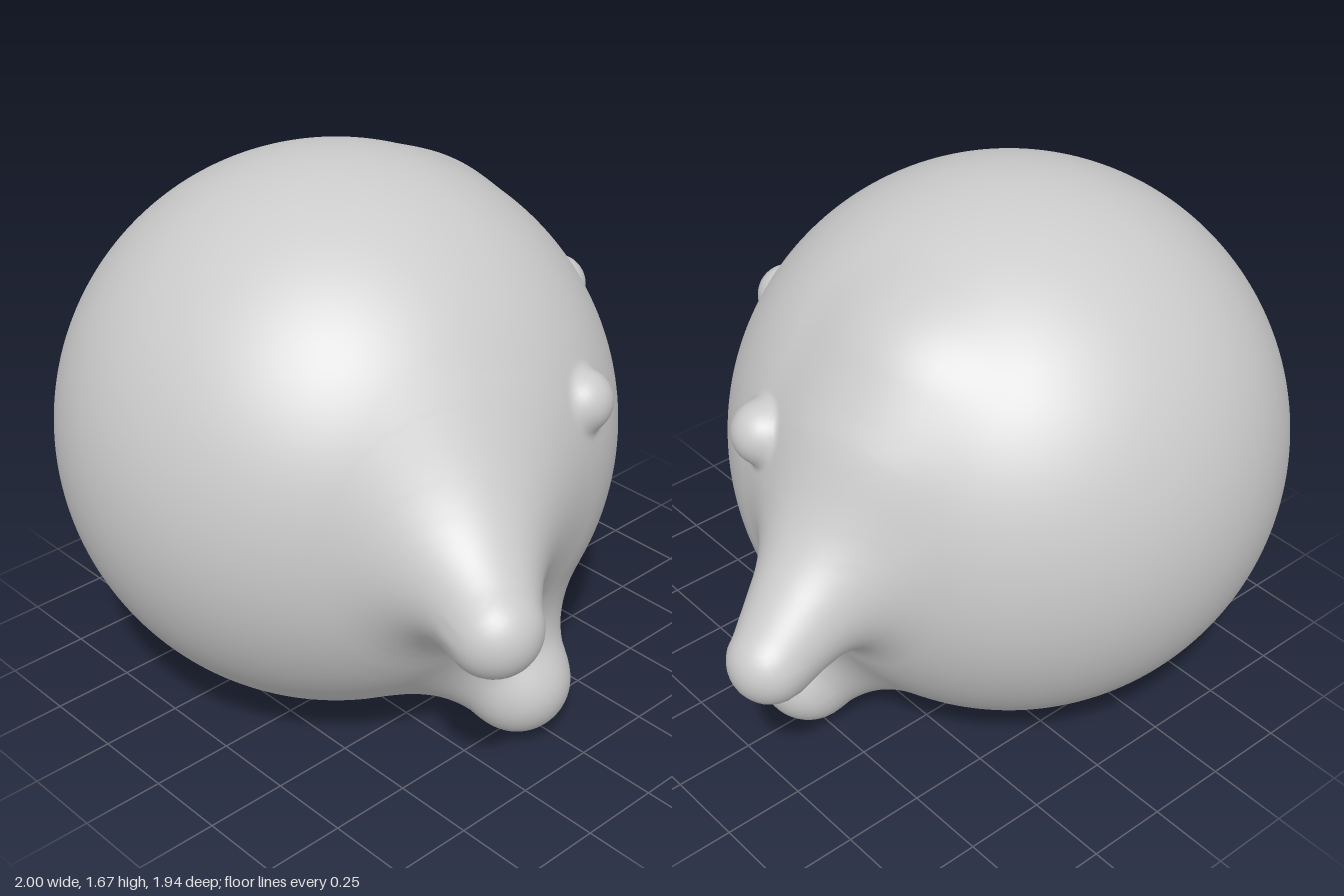
import * as THREE from 'three';
import { mergeVertices } from 'three/addons/utils/BufferGeometryUtils.js';

const V = (x, y, z) => new THREE.Vector3(x, y, z);
const CENTER = V(-0.165, 0.84, -0.14);
const RADIUS = 0.835;

// Tapered, rounded lobes: root, tip, radius at each, softness of the blend
const LOBES = [
  { a: V(0.2, 1.2, -0.23), b: V(0.29, 1.08, -0.24), ra: 0.345, rb: 0.345, k: 0.06 }, // shoulder swell
  { a: V(0.12, 0.37, 0.15), b: V(0.13, 0.37, 0.16), ra: 0.24, rb: 0.24, k: 0.15 }, // hip pad
  { a: V(-0.28, 0.88, 0.42), b: V(-0.485, 0.73, 0.83), ra: 0.28, rb: 0.135, k: 0.2 }, // right arm
  { a: V(0.43, 0.92, -0.24), b: V(0.88, 0.67, -0.345), ra: 0.26, rb: 0.12, k: 0.15 }, // left arm
  { a: V(-0.08, 0.4, 0.25), b: V(-0.06, 0.19, 0.525), ra: 0.22, rb: 0.16, k: 0.18 }, // right leg
  { a: V(0.25, 0.4, -0.02), b: V(0.51, 0.17, 0), ra: 0.22, rb: 0.15, k: 0.18 }, // left leg
  { a: V(0.09, 1.085, 0.57), b: V(0.1, 1.085, 0.58), ra: 0.095, rb: 0.095, k: 0.02 }, // right eye
  { a: V(0.59, 1.095, 0.025), b: V(0.6, 1.095, 0.025), ra: 0.095, rb: 0.095, k: 0.02 }, // left eye
];

const ab = new THREE.Vector3(), ap = new THREE.Vector3();
function lobeDistance(p, { a, b, ra, rb }) {
  ab.subVectors(b, a);
  ap.subVectors(p, a);
  const t = THREE.MathUtils.clamp(ap.dot(ab) / ab.lengthSq(), 0, 1);
  return ap.addScaledVector(ab, -t).length() - THREE.MathUtils.lerp(ra, rb, t);
}

function smoothMin(d, e, k) {
  const h = Math.max(k - Math.abs(d - e), 0) / k;
  return Math.min(d, e) - h * h * k * 0.25;
}

function bodyDistance(p) {
  let d = p.distanceTo(CENTER) - RADIUS;
  for (const lobe of LOBES) d = smoothMin(d, lobeDistance(p, lobe), lobe.k);
  return d;
}

// Round body with arms, legs and button eyes drawn out of one smooth skin
function createBody() {
  let geo = new THREE.IcosahedronGeometry(1, 80);
  geo.deleteAttribute('normal');
  geo.deleteAttribute('uv');
  geo = mergeVertices(geo, 1e-5);
  const pos = geo.attributes.position;
  const dir = new THREE.Vector3(), p = new THREE.Vector3();
  for (let i = 0; i < pos.count; i++) {
    dir.fromBufferAttribute(pos, i).normalize();
    let r = 1.4;
    for (let step = 0; step < 70; step++) {
      const d = bodyDistance(p.copy(CENTER).addScaledVector(dir, r));
      if (d < 0.0004) break;
      r -= d * 0.85;
    }
    p.copy(CENTER).addScaledVector(dir, r);
    pos.setXYZ(i, p.x, p.y, p.z);
  }
  geo.computeVertexNormals();
  return geo;
}

export function createModel() {
  const group = new THREE.Group();
  const body = new THREE.Mesh(createBody(), new THREE.MeshStandardMaterial({ color: 0xcccccc }));
  body.name = 'bodyWithLimbsAndEyes';
  group.add(body);
  return group;
}
